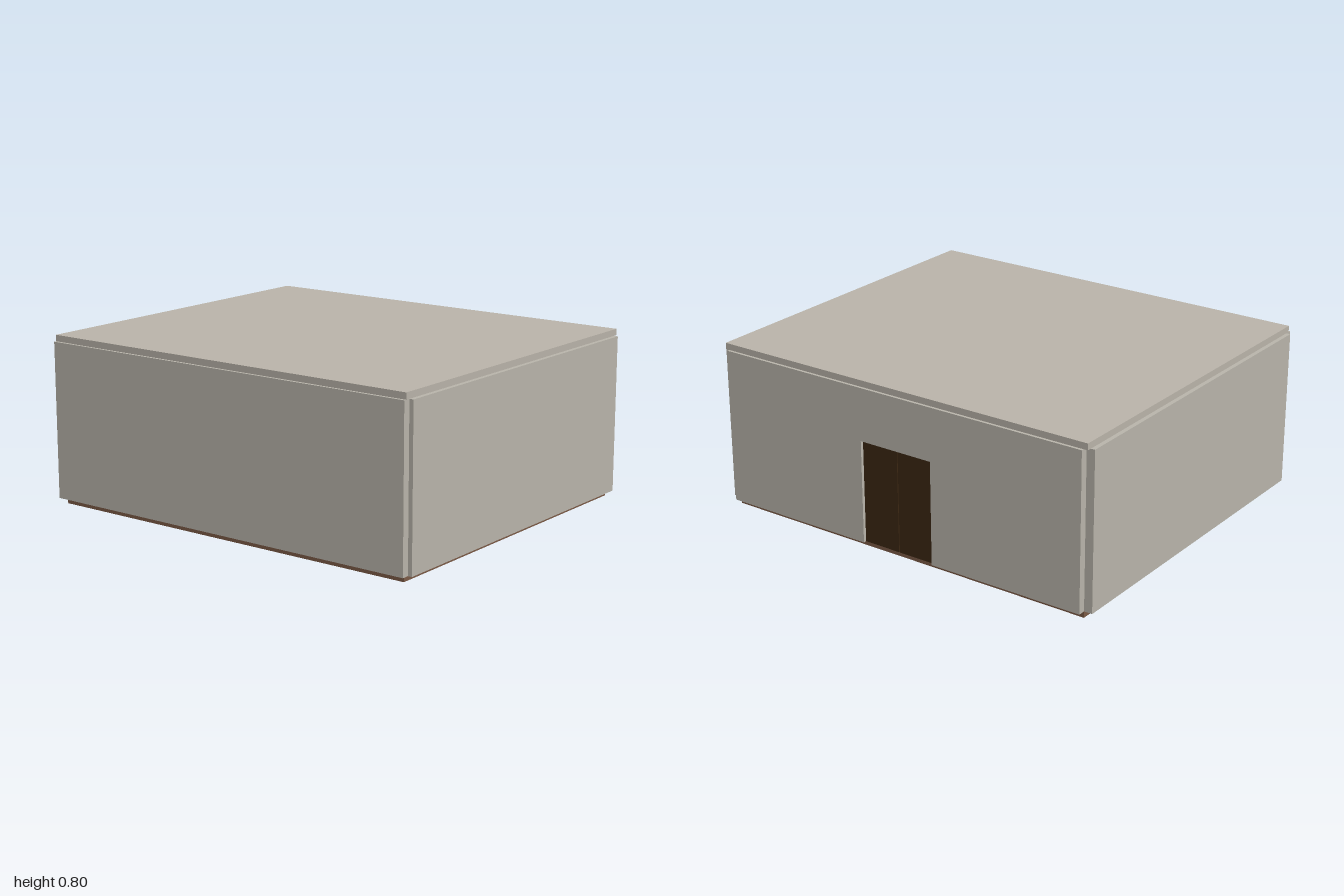
import * as THREE from 'three';

const material = (name, color) => {
  const m = new THREE.MeshStandardMaterial({ color });
  m.name = name;
  return m;
};

export function createModel() {
  const group = new THREE.Group();
  const plaster = material('plaster', 0xb7b3a9);
  const roofing = material('roofing', 0xb8b2a8);
  const floorWood = material('floor wood', 0x7a5a46);
  const doorWood = material('dark door wood', 0x3a2612);

  // Box given by its minimum and maximum corners
  const box = (name, mat, [x0, y0, z0], [x1, y1, z1]) => {
    const mesh = new THREE.Mesh(new THREE.BoxGeometry(x1 - x0, y1 - y0, z1 - z0), mat);
    mesh.position.set((x0 + x1) / 2, (y0 + y1) / 2, (z0 + z1) / 2);
    mesh.name = name;
    group.add(mesh);
  };

  const base = 0.03, eaves = 0.77;      // wall bottom and top
  const inner = 0.818, outer = 0.853;   // front and back wall faces in z
  const doorHalf = 0.19, doorTop = 0.52;

  // Floor and ceiling slabs
  box('floor', floorWood, [-0.96, 0, -inner], [0.96, base, inner]);
  box('roof', roofing, [-0.98, eaves, -0.84], [0.98, 0.8, 0.84]);

  // Solid front and side walls
  box('frontWall', plaster, [-0.98, base, inner], [0.98, eaves, outer]);
  box('leftWall', plaster, [0.96, base, -inner], [1, eaves, inner]);
  box('rightWall', plaster, [-1, base, -inner], [-0.96, eaves, inner]);

  // Back wall with a doorway cut from its lower edge
  const outline = new THREE.Shape([
    [-0.96, base], [-doorHalf, base], [-doorHalf, doorTop], [doorHalf, doorTop],
    [doorHalf, base], [0.96, base], [0.96, eaves], [-0.96, eaves],
  ].map(([x, y]) => new THREE.Vector2(x, y)));
  const backWall = new THREE.Mesh(
    new THREE.ExtrudeGeometry(outline, { depth: outer - inner, bevelEnabled: false }), plaster);
  backWall.position.z = -outer;
  backWall.name = 'backWall';
  group.add(backWall);

  // Double door, set back in the opening with a thin gap between the leaves
  box('leftDoorLeaf', doorWood, [0.002, base, -0.838], [doorHalf, doorTop, -inner]);
  box('rightDoorLeaf', doorWood, [-doorHalf, base, -0.838], [-0.002, doorTop, -inner]);

  return group;
}
